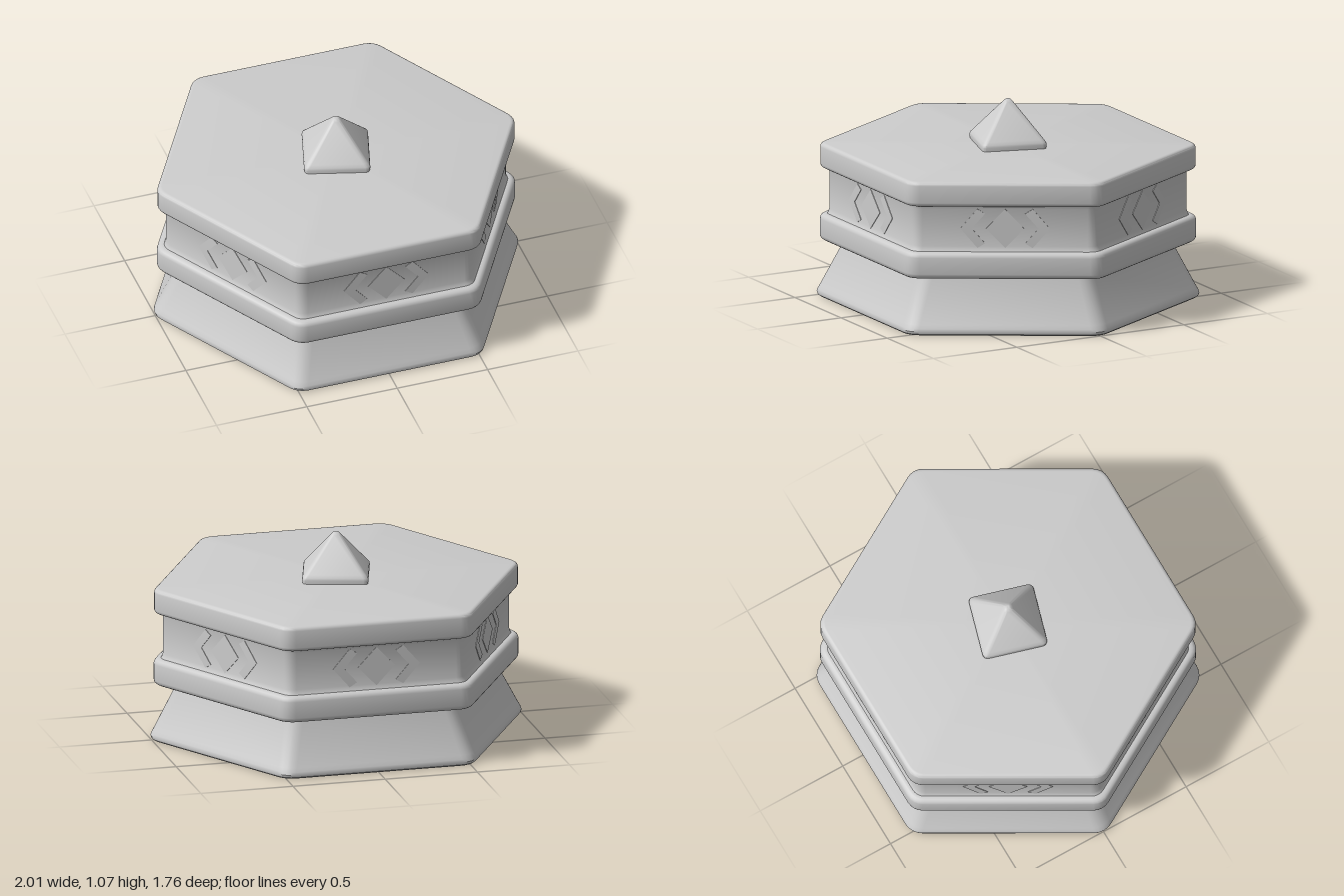
import * as THREE from 'three';
import { toCreasedNormals } from 'three/addons/utils/BufferGeometryUtils.js';

// Prism with rounded vertical corners; profile is a list of [apothem, y] from bottom to top.
function polygonLoft(sides, turn, cornerRadius, profile) {
  const steps = 4, half = Math.PI / sides, count = sides * (steps + 1);
  const pos = [], index = [];
  for (const [apothem, y] of profile) {
    const r = Math.min(cornerRadius, apothem * 0.6);
    const reach = (apothem - r) / Math.cos(half);
    for (let i = 0; i < sides; i++) {
      const a = turn + i * 2 * half;
      for (let k = 0; k <= steps; k++) {
        const b = a - half + (2 * half * k) / steps;
        pos.push(reach * Math.cos(a) + r * Math.cos(b), y, reach * Math.sin(a) + r * Math.sin(b));
      }
    }
  }
  const last = profile.length - 1;
  for (let j = 0; j < last; j++) {
    for (let i = 0; i < count; i++) {
      const n = (i + 1) % count;
      const a = j * count + i, b = j * count + n, c = b + count, d = a + count;
      index.push(a, d, c, a, c, b);
    }
  }
  // End caps
  const bottom = pos.length / 3, top = bottom + 1;
  pos.push(0, profile[0][1], 0, 0, profile[last][1], 0);
  for (let i = 0; i < count; i++) {
    const n = (i + 1) % count;
    index.push(bottom, i, n, top, last * count + n, last * count + i);
  }
  const g = new THREE.BufferGeometry();
  g.setAttribute('position', new THREE.Float32BufferAttribute(pos, 3));
  g.setIndex(index);
  return toCreasedNormals(g, 0.6);
}

// Slab profile with rounded lower and upper edges
function slabProfile(apothem, y0, y1, r) {
  const pts = [], steps = 4;
  for (let k = 0; k <= steps; k++) {
    const t = (k / steps) * Math.PI / 2;
    pts.push([apothem - r + r * Math.sin(t), y0 + r - r * Math.cos(t)]);
  }
  for (let k = 0; k <= steps; k++) {
    const t = (k / steps) * Math.PI / 2;
    pts.push([apothem - r + r * Math.cos(t), y1 - r + r * Math.sin(t)]);
  }
  return pts;
}

function plate(points) {
  const shape = new THREE.Shape(points.map(([x, y]) => new THREE.Vector2(x, y)));
  return new THREE.ExtrudeGeometry(shape, { depth: 0.006, bevelEnabled: false });
}

export function createModel() {
  const model = new THREE.Group();
  const stone = new THREE.MeshStandardMaterial({ color: 0xcccccc });
  stone.name = 'stone grey';

  const add = (name, geometry, parent = model) => {
    const mesh = new THREE.Mesh(geometry, stone);
    mesh.name = name;
    parent.add(mesh);
    return mesh;
  };

  // Flared foot
  add('base', polygonLoft(6, 0, 0.1, [
    [0.868, 0], [0.878, 0.008], [0.882, 0.022], [0.878, 0.036], [0.868, 0.056], [0.762, 0.285], [0.758, 0.32],
  ]));

  // Two rounded bands with a recessed drum between them
  add('lowerBand', polygonLoft(6, 0, 0.09, slabProfile(0.866, 0.3, 0.443, 0.028)));
  add('drum', polygonLoft(6, 0, 0.07, [
    [0.836, 0.43], [0.826, 0.45], [0.82, 0.47], [0.82, 0.67], [0.826, 0.69], [0.832, 0.71],
  ]));
  add('upperBand', polygonLoft(6, 0, 0.09, slabProfile(0.864, 0.69, 0.825, 0.022)));

  // Pyramid finial, turned off axis
  add('finial', polygonLoft(4, -0.5, 0.025, [
    [0.17, 0.81], [0.174, 0.845], [0.171, 0.857], [0.16, 0.872],
    [0.026, 1.048], [0.016, 1.059], [0.006, 1.065],
  ]));

  // Diamond between two chevrons on every drum face
  const diamond = plate([[0.1, 0], [0, 0.105], [-0.1, 0], [0, -0.105]]);
  const chevron = (s) => {
    const pts = [[0.235, 0], [0.145, 0.105], [0.105, 0.08], [0.175, 0], [0.105, -0.08], [0.145, -0.105]];
    return plate(pts.map(([x, y]) => [x * s, y]));
  };
  const leftChevron = chevron(1), rightChevron = chevron(-1);
  for (let i = 0; i < 6; i++) {
    const face = new THREE.Group();
    face.name = 'ornament' + (i + 1);
    face.rotation.y = (i * Math.PI) / 3;
    for (const [name, g] of [['diamond', diamond], ['leftChevron', leftChevron], ['rightChevron', rightChevron]]) {
      add(name, g, face).position.set(0, 0.567, 0.817);
    }
    model.add(face);
  }
  return model;
}
